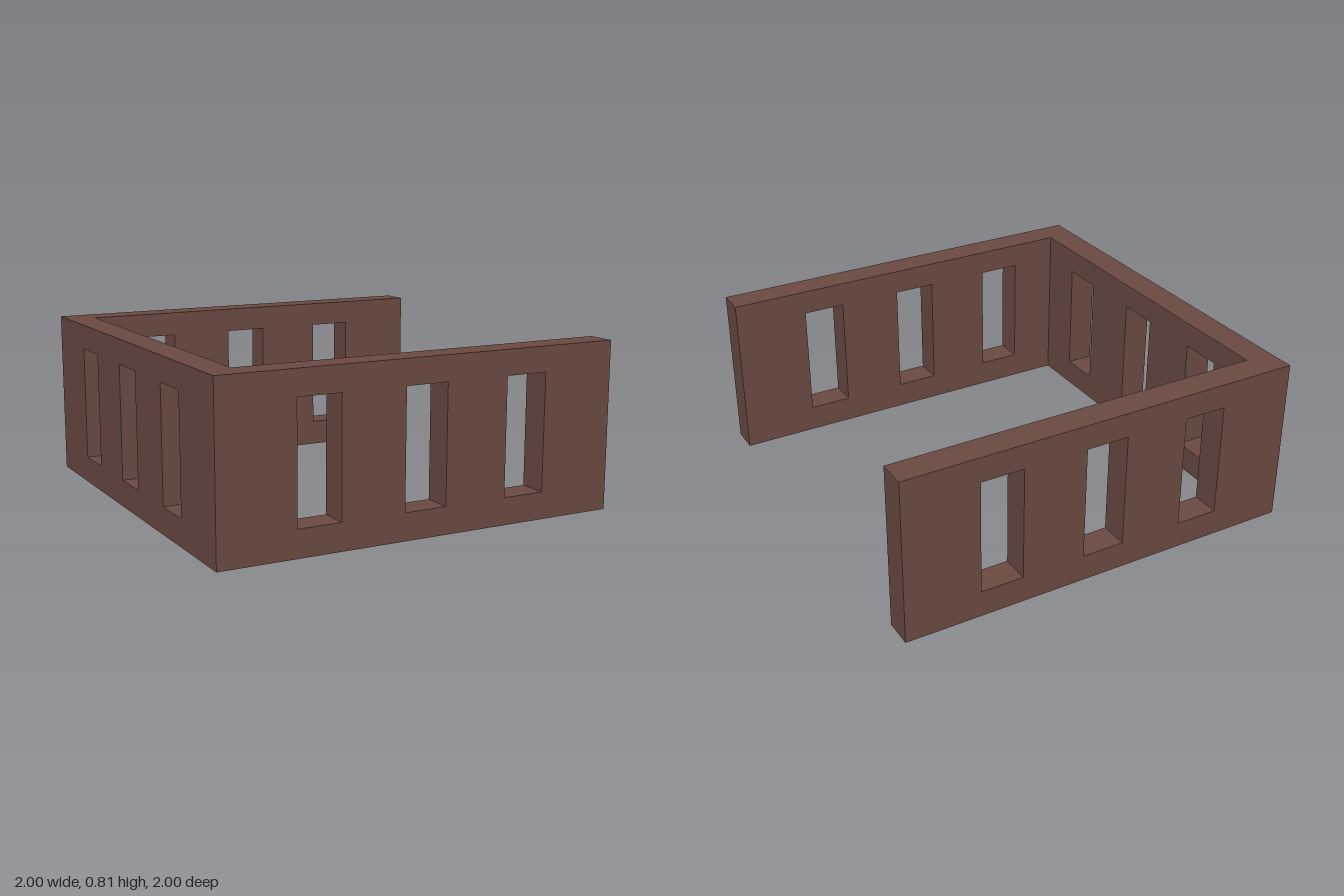
import * as THREE from 'three';

const HEIGHT = 0.81, THICK = 0.14;
const WINDOW = { width: 0.21, bottom: 0.13, top: 0.69, centres: [-0.525, 0, 0.525] };

function rectangle(target, x0, y0, x1, y1) {
  target.moveTo(x0, y0);
  target.lineTo(x1, y0);
  target.lineTo(x1, y1);
  target.lineTo(x0, y1);
  target.closePath();
  return target;
}

// Upright wall with three window openings, centred on its own thickness
function makeWall(name, length, material) {
  const shape = rectangle(new THREE.Shape(), -length / 2, 0, length / 2, HEIGHT);
  for (const c of WINDOW.centres) {
    const half = WINDOW.width / 2;
    shape.holes.push(rectangle(new THREE.Path(), c - half, WINDOW.bottom, c + half, WINDOW.top));
  }
  const geometry = new THREE.ExtrudeGeometry(shape, { depth: THICK, bevelEnabled: false });
  geometry.translate(0, 0, -THICK / 2);
  const wall = new THREE.Mesh(geometry, material);
  wall.name = name;
  return wall;
}

export function createModel() {
  const model = new THREE.Group();
  model.name = 'windowedWalls';
  const brown = new THREE.MeshStandardMaterial({ color: 0x6b4a42 });
  brown.name = 'brown';
  const offset = 1 - THICK / 2;

  // Long parallel walls
  for (const [name, side] of [['frontWall', 1], ['backWall', -1]]) {
    const wall = makeWall(name, 2, brown);
    wall.position.z = side * offset;
    model.add(wall);
  }

  // Connecting wall fitted between them, leaving the left side open
  const rightWall = makeWall('rightWall', 2 - 2 * THICK, brown);
  rightWall.rotation.y = -Math.PI / 2;
  rightWall.position.x = -offset;
  model.add(rightWall);

  return model;
}
